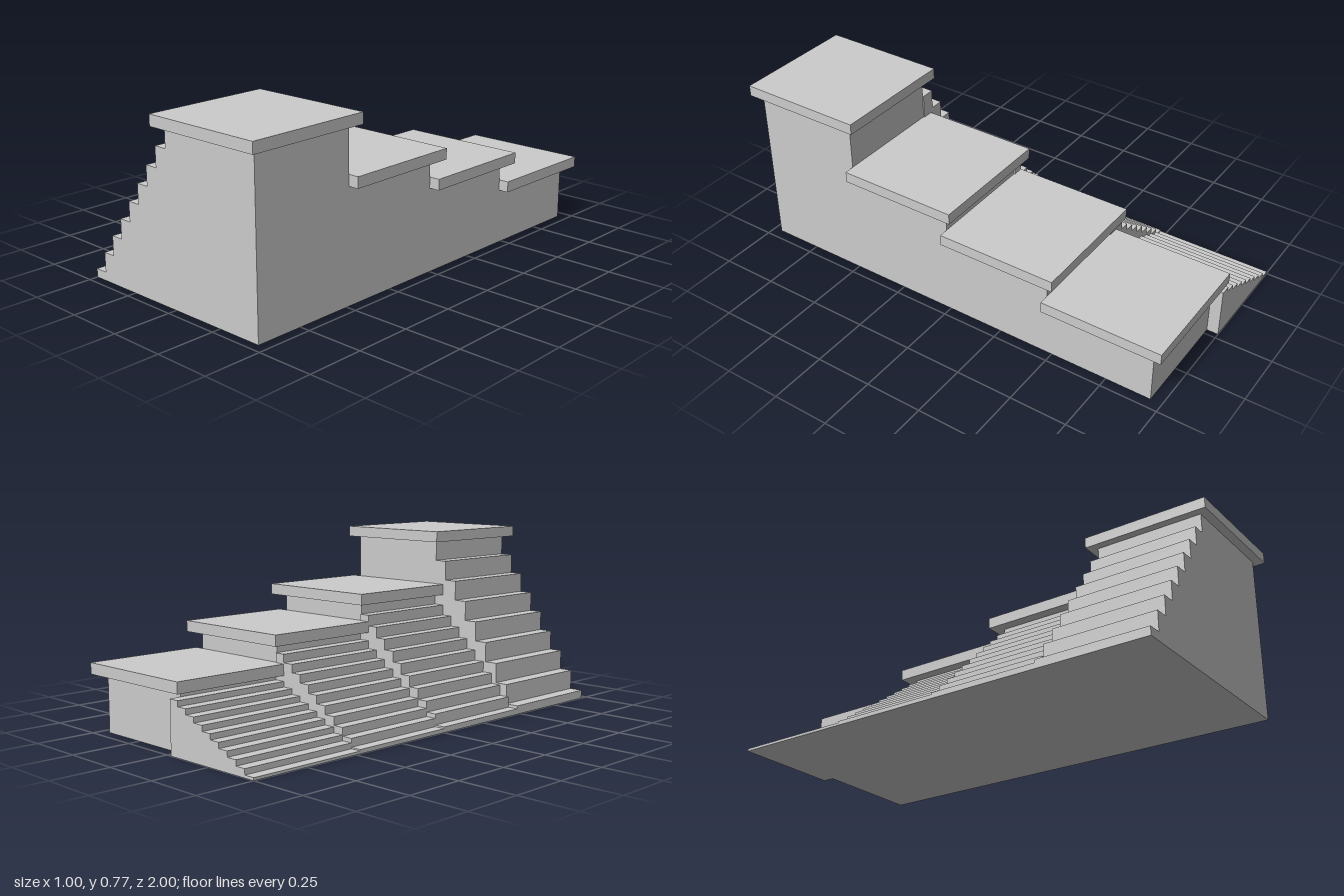
import * as THREE from 'three';

const material = new THREE.MeshStandardMaterial({ color: 0xcccccc, flatShading: true });
const X_STAIR = -0.5, X_WALL = -0.025, X_SIDE = 0.455;

// Box given by its minimum and maximum corners
function block(name, [x0, y0, z0], [x1, y1, z1]) {
  const mesh = new THREE.Mesh(new THREE.BoxGeometry(x1 - x0, y1 - y0, z1 - z0), material);
  mesh.name = name;
  mesh.position.set((x0 + x1) / 2, (y0 + y1) / 2, (z0 + z1) / 2);
  return mesh;
}

// Side staircase: a stepped profile extruded along z
function staircase(height, steps, first, zBack, zFront) {
  const run = (X_WALL - X_STAIR) / steps;
  const rise = (height - first) / steps;
  const shape = new THREE.Shape();
  shape.moveTo(X_WALL, 0);
  shape.lineTo(X_STAIR, 0);
  for (let i = 0; i < steps; i++) {
    const y = first + rise * i;
    shape.lineTo(X_STAIR + run * i, y);
    shape.lineTo(X_STAIR + run * (i + 1), y);
  }
  shape.lineTo(X_WALL, first + rise * (steps - 1));
  const geometry = new THREE.ExtrudeGeometry(shape, { depth: zFront - zBack, bevelEnabled: false });
  const mesh = new THREE.Mesh(geometry, material);
  mesh.name = 'staircase';
  mesh.position.z = zBack;
  return mesh;
}

export function createModel() {
  const model = new THREE.Group();
  model.name = 'steppedTerraces';

  // Terraces from front (tallest) to back (lowest)
  const terraces = [
    { h: 0.72, body: [0.487, 0.962], stair: [0.482, 0.962], slab: [0.447, 1], slabX: [-0.062, 0.49], steps: 8, first: 0.037 },
    { h: 0.482, body: [0.008, 0.487], stair: [0.002, 0.482], slab: [-0.04, 0.487], slabX: [-0.072, 0.5], steps: 10, first: 0.024 },
    { h: 0.362, body: [-0.472, 0.008], stair: [-0.478, 0.002], slab: [-0.52, 0.006], slabX: [-0.072, 0.5], steps: 10, first: 0.017 },
    { h: 0.241, body: [-0.95, -0.472], stair: [-1, -0.478], slab: [-1, -0.472], slabX: [-0.072, 0.5], steps: 10, first: 0.011 },
  ];

  terraces.forEach((t, i) => {
    const terrace = new THREE.Group();
    terrace.name = `terrace${i + 1}`;
    terrace.add(
      block('body', [X_WALL, 0, t.body[0]], [X_SIDE, t.h, t.body[1]]),
      staircase(t.h, t.steps, t.first, ...t.stair),
      block('roofSlab', [t.slabX[0], t.h, t.slab[0]], [t.slabX[1], t.h + 0.047, t.slab[1]]),
    );
    model.add(terrace);
  });
  return model;
}
